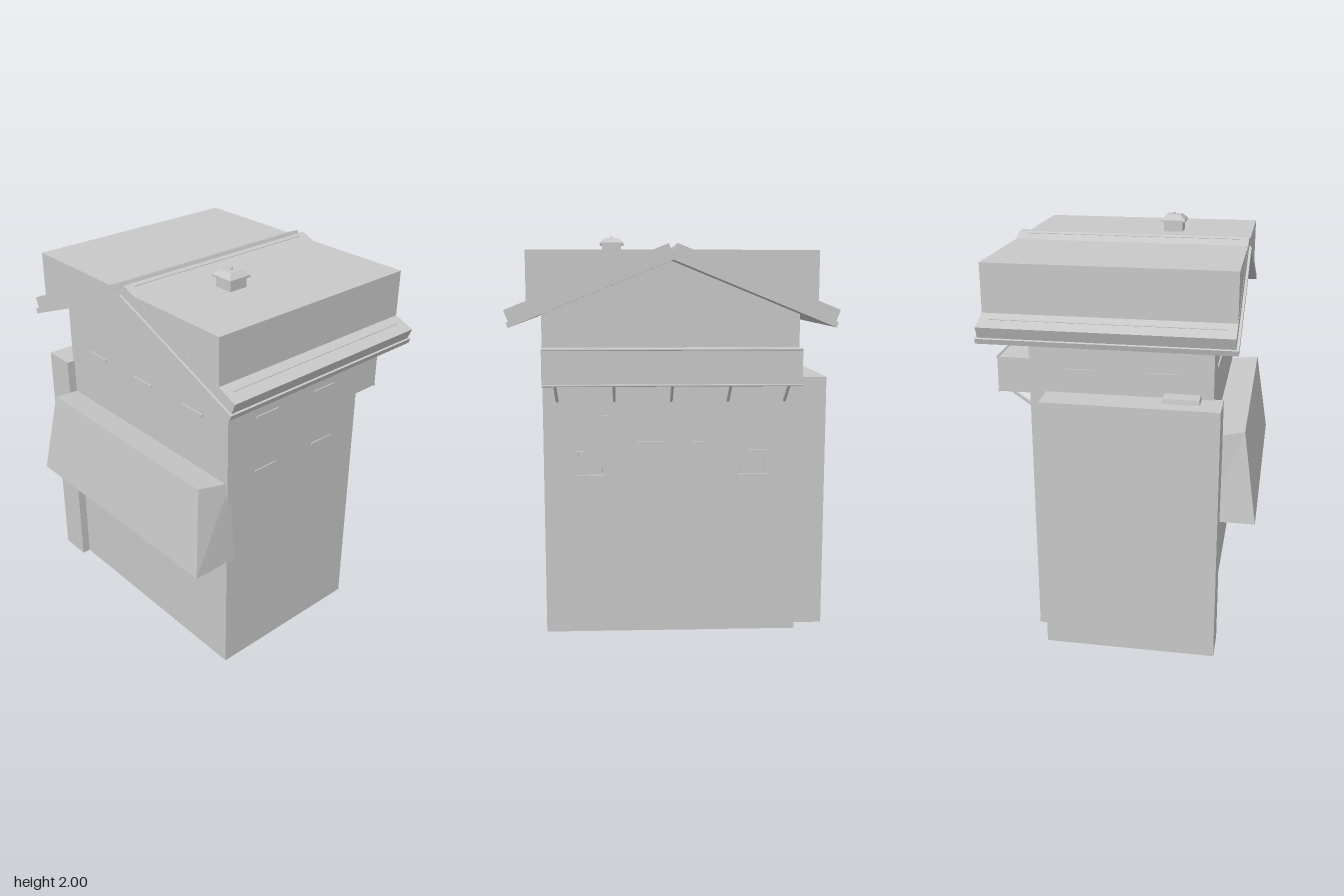
import * as THREE from 'three';

export function createModel() {
  const model = new THREE.Group();
  model.name = 'gabledBuilding';
  const grey = new THREE.MeshStandardMaterial({ color: 0xc8c8c8 });
  grey.name = 'plainGrey';

  const add = (name, geometry, parent = model) => {
    const mesh = new THREE.Mesh(geometry, grey);
    mesh.name = name;
    parent.add(mesh);
    return mesh;
  };
  // Box given by its low and high limits on each axis
  const box = (name, [x0, x1], [y0, y1], [z0, z1], parent) => {
    const mesh = add(name, new THREE.BoxGeometry(x1 - x0, y1 - y0, z1 - z0), parent);
    mesh.position.set((x0 + x1) / 2, (y0 + y1) / 2, (z0 + z1) / 2);
    return mesh;
  };
  // Front outline pushed through from z0 to z1
  const prism = (name, points, z0, z1) => {
    const shape = new THREE.Shape(points.map(([x, y]) => new THREE.Vector2(x, y)));
    const geometry = new THREE.ExtrudeGeometry(shape, { depth: z1 - z0, bevelEnabled: false });
    return add(name, geometry.translate(0, 0, z0));
  };
  // Round bar between two points
  const bar = (name, a, b, radius, parent) => {
    const from = new THREE.Vector3(...a), to = new THREE.Vector3(...b);
    const mesh = add(name, new THREE.CylinderGeometry(radius, radius, from.distanceTo(to), 6), parent);
    mesh.position.copy(from).add(to).multiplyScalar(0.5);
    mesh.quaternion.setFromUnitVectors(new THREE.Vector3(0, 1, 0), to.sub(from).normalize());
  };
  // Box whose corners are reshaped by a rule on (isTop, isFront)
  const taperedBox = (name, corner) => {
    const geometry = new THREE.BoxGeometry(1, 1, 1).toNonIndexed();
    const p = geometry.attributes.position;
    for (let i = 0; i < p.count; i++) {
      const [x, y, z] = corner(p.getY(i) > 0, p.getZ(i) > 0);
      p.setXYZ(i, Math.sign(p.getX(i)) * x, y, z);
    }
    geometry.computeVertexNormals();
    return add(name, geometry);
  };

  // Main block with gable ends
  prism('walls', [[-0.63, 0], [0.63, 0], [0.63, 1.603], [0, 1.86], [-0.63, 1.603]], -0.44, 0.435);

  // Side annex with a small hatch on top
  box('annex', [-0.785, -0.617], [0, 1.287], [-0.36, 0.48]);
  const hatch = taperedBox('annexHatch', (top, front) =>
    [top ? 0.038 : 0.044, top ? 1.31 : 1.28, (front ? 1 : -1) * (top ? 0.085 : 0.09)]);
  hatch.position.set(-0.67, 0, 0.29);

  // Roof: thin lining, two slabs, and the flat-topped block over them
  prism('roofLining', [[-0.765, 1.548], [0, 1.86], [0.765, 1.548], [0.773, 1.573],
    [0, 1.885], [-0.773, 1.573]], -0.65, 0.55);
  for (const s of [1, -1]) {
    prism('roofSlab', [[0.02, 1.935], [0.785, 1.63], [0.761, 1.57], [-0.004, 1.875]]
      .map(([x, y]) => [s * x, y]), -0.64, 0.538);
    // Thin rails beside the ridge and along the eaves
    for (const x of [0.04, 0.725]) {
      const y = 1.935 - (x - 0.02) * 0.3987;
      bar('roofRail', [s * x, y, -0.595], [s * x, y, 0.495], 0.003);
    }
  }
  prism('roofBlock', [[-0.68, 1.905], [-0.68, 1.64], [0, 1.89], [0.68, 1.64], [0.68, 1.905]], -0.639, 0.537);

  // Roof vent with a hipped cap
  const vent = new THREE.Group();
  vent.name = 'roofVent';
  vent.position.set(0.295, 0, 0.122);
  model.add(vent);
  box('ventBase', [-0.05, 0.05], [1.89, 1.956], [-0.05, 0.05], vent);
  box('ventRim', [-0.063, 0.063], [1.955, 1.965], [-0.063, 0.063], vent);
  vent.add(taperedBox('ventCap', (top, front) => {
    const half = top ? 0.037 : 0.063;
    return [half, top ? 1.99 : 1.965, front ? half : -half];
  }));
  box('ventKnob', [-0.005, 0.005], [1.985, 2], [-0.005, 0.005], vent);

  // Flared front canopy
  taperedBox('canopy', (top, front) => top
    ? (front ? [0.595, 1.125, 0.583] : [0.62, 1.098, 0.41])
    : [0.656, 0.677, front ? 0.65 : 0.41]);

  // Rear box gallery with edge trims and struts
  box('gallery', [-0.62, 0.62], [1.272, 1.443], [-0.598, -0.43]);
  for (const y of [1.443, 1.273]) bar('galleryTrim', [-0.62, y, -0.598], [0.62, y, -0.598], 0.006);
  for (let i = -2; i <= 2; i++) {
    bar('galleryStrut', [i * 0.28, 1.18, -0.438], [i * 0.28, 1.275, -0.575], 0.008);
  }

  // Narrow ledges on the walls
  for (const x of [-0.38, 0, 0.38]) {
    box('frontLedge', [x - 0.075, x + 0.075], [1.393, 1.405], [0.43, 0.442]);
    box('backLedge', [x - 0.075, x + 0.075], [1.098, 1.11], [-0.447, -0.435]);
  }
  for (const s of [1, -1]) for (const z of [-0.195, 0.19]) for (const y of [1.4, 1.105]) {
    const xs = s > 0 ? [0.625, 0.636] : [-0.636, -0.625];
    box('sideLedge', xs, [y - 0.007, y + 0.005], [z - 0.07, z + 0.07]);
  }

  // Back door and lintel
  box('backDoor', [-0.155, 0.155], [0.71, 0.965], [-0.444, -0.436]);
  box('doorLintel', [-0.17, 0.17], [0.963, 0.977], [-0.449, -0.436]);

  // Small back windows with frames and sills
  for (const x of [-0.405, 0.405]) {
    for (const s of [-1, 1]) box('windowJamb', [x + s * 0.06 - 0.005, x + s * 0.06 + 0.005], [0.805, 0.93], [-0.447, -0.436]);
    box('windowHead', [x - 0.065, x + 0.065], [0.922, 0.932], [-0.447, -0.436]);
    box('windowSill', [x - 0.075, x + 0.075], [0.797, 0.812], [-0.46, -0.436]);
  }
  return model;
}
